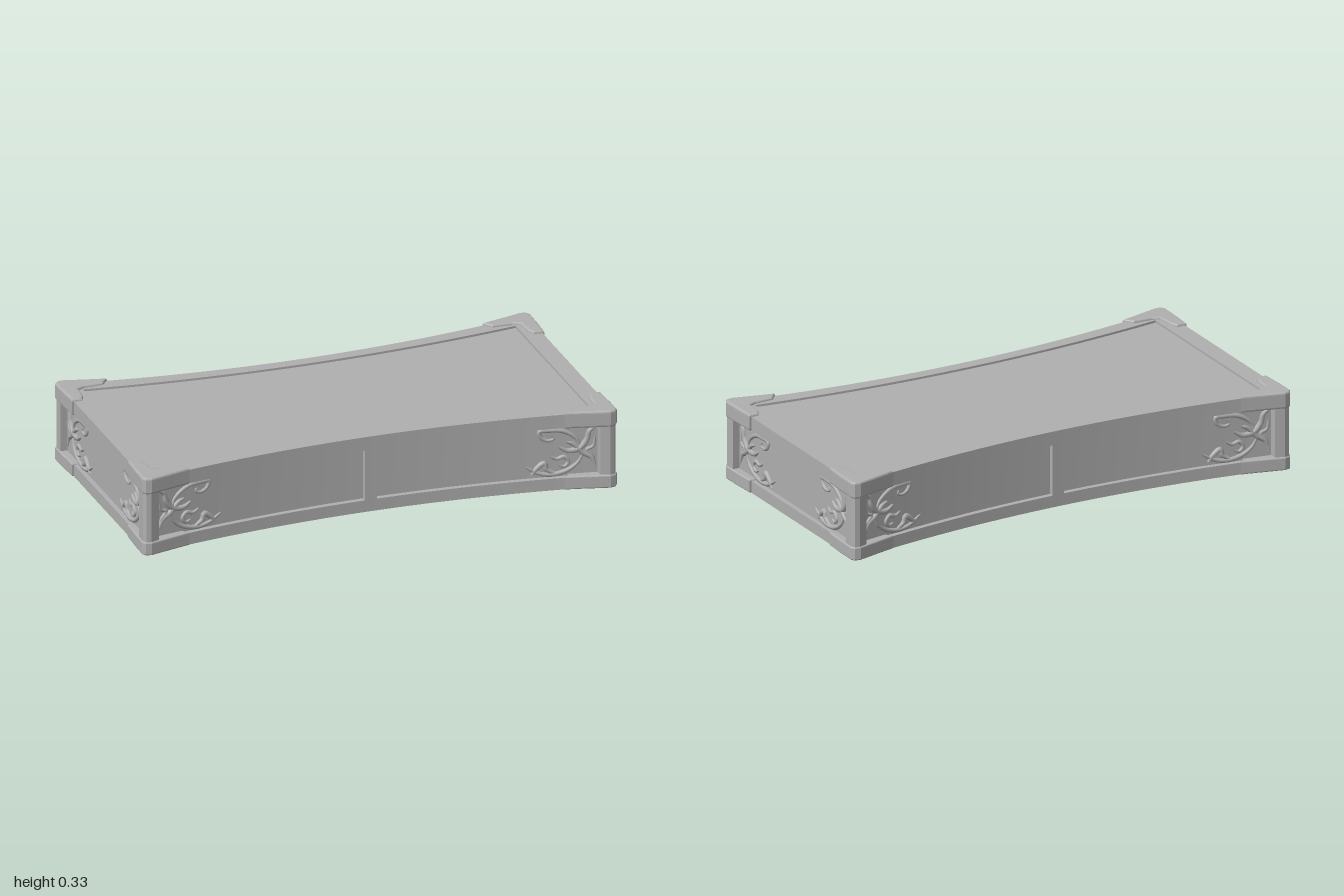
import * as THREE from 'three';

const stone = new THREE.MeshStandardMaterial({ color: 0xb0b0b0 });
stone.name = 'grey stone';

// plan curves of the concave long sides: outer rim, recessed wall, inner rim
const rim = (x) => 0.406 + 0.1 * x * x;
const wall = (x) => rim(x) - 0.022;
const inner = (x) => 0.355 + 0.08 * x * x;
const SIDE_RIM = 0.985, SIDE_WALL = 0.965;

function add(parent, name, geometry) {
  const mesh = new THREE.Mesh(geometry, stone);
  mesh.name = name;
  parent.add(mesh);
  return mesh;
}

// box whose back and front follow two plan curves
function bentBox(x0, x1, y0, y1, back, front) {
  const g = new THREE.BoxGeometry(x1 - x0, y1 - y0, 1, 32, 1, 1);
  g.translate((x0 + x1) / 2, (y0 + y1) / 2, 0);
  const p = g.attributes.position;
  for (let i = 0; i < p.count; i++) {
    const x = p.getX(i);
    p.setZ(i, p.getZ(i) > 0 ? front(x) : back(x));
  }
  g.computeVertexNormals();
  return g;
}

// scroll strokes: [inset from panel end, height] points, then thickness
const strokes = [
  { r: 0.010, pts: [[0.07, 0.16], [0.085, 0.205], [0.14, 0.243], [0.2, 0.25], [0.235, 0.247], [0.228, 0.222], [0.2, 0.206], [0.175, 0.214], [0.185, 0.227]] },
  { r: 0.013, pts: [[0.008, 0.255], [0.035, 0.235], [0.045, 0.2], [0.075, 0.165], [0.12, 0.157], [0.155, 0.175]] },
  { r: 0.012, pts: [[0.012, 0.09], [0.03, 0.125], [0.06, 0.145], [0.1, 0.185], [0.125, 0.195]] },
  { r: 0.008, pts: [[0.012, 0.21], [0.02, 0.17], [0.045, 0.155], [0.025, 0.13], [0.01, 0.075]] },
  { r: 0.010, pts: [[0.06, 0.14], [0.08, 0.105], [0.12, 0.075], [0.18, 0.06], [0.235, 0.068], [0.29, 0.1]] },
  { r: 0.012, pts: [[0.17, 0.062], [0.205, 0.085], [0.215, 0.11], [0.245, 0.09], [0.265, 0.062]] },
  { r: 0.009, pts: [[0.19, 0.138], [0.165, 0.125], [0.135, 0.132], [0.118, 0.11], [0.135, 0.09], [0.155, 0.098]] },
];

// tapered tube following a stroke on a wall
function scroll(stroke, end, sign, depth) {
  const n = 36, ring = 8;
  const curve = new THREE.CatmullRomCurve3(
    stroke.pts.map(([a, y]) => new THREE.Vector3(sign * (end - a), y, depth(end - a))));
  const g = new THREE.TubeGeometry(curve, n, stroke.r, ring, false);
  const p = g.attributes.position, v = new THREE.Vector3();
  for (let i = 0; i <= n; i++) {
    const c = curve.getPointAt(i / n);
    const k = 0.25 + 0.75 * Math.sqrt(Math.sin(Math.PI * Math.min(1, Math.max(0, i / n))));
    for (let j = 0; j <= ring; j++) {
      const q = i * (ring + 1) + j;
      v.fromBufferAttribute(p, q).sub(c).multiplyScalar(k).add(c);
      p.setXYZ(q, v.x, v.y, v.z);
    }
  }
  return g;
}

function ornaments(parent, end, depth) {
  for (const sign of [-1, 1]) {
    const group = new THREE.Group();
    group.name = 'scrollOrnament';
    for (const s of strokes) add(group, 'scrollStroke', scroll(s, end, sign, depth));
    parent.add(group);
  }
}

// rounded upright prism from a plan outline of [x, z] points
function prism(points, sx, sz, y0, y1, bevel) {
  const shape = new THREE.Shape(points.map(([x, z]) => new THREE.Vector2(sx * x, -sz * z)));
  const g = new THREE.ExtrudeGeometry(shape, {
    depth: y1 - y0 - 2 * bevel, bevelEnabled: true, bevelThickness: bevel,
    bevelSize: bevel, bevelOffset: -bevel, bevelSegments: 3,
  });
  g.rotateX(-Math.PI / 2);
  g.translate(0, y0 + bevel, 0);
  return g;
}

const bracketPlan = [[0.79, 0.474], [0.86, 0.492], [0.92, 0.508], [0.965, 0.52], [0.988, 0.515],
  [0.999, 0.498], [0.998, 0.42], [0.993, 0.318], [0.95, 0.318], [0.935, 0.35], [0.93, 0.42], [0.9, 0.433], [0.82, 0.436]];
const postPlan = [[0.928, 0.45], [0.928, 0.502], [0.965, 0.515], [0.985, 0.511], [0.994, 0.495], [0.993, 0.45]];

export function createModel() {
  const model = new THREE.Group();
  model.name = 'curvedPlinth';

  // recessed core
  add(model, 'core', bentBox(-SIDE_WALL, SIDE_WALL, 0.004, 0.313, (x) => -wall(x), wall));

  // front and back
  for (const turn of [0, Math.PI]) {
    const face = new THREE.Group();
    face.name = turn ? 'backFace' : 'frontFace';
    add(face, 'topRail', bentBox(-SIDE_RIM, SIDE_RIM, 0.264, 0.322, inner, rim));
    add(face, 'bottomRail', bentBox(-SIDE_RIM, SIDE_RIM, 0, 0.05, inner, rim));
    add(face, 'centreDivider', bentBox(-0.028, 0.024, 0.04, 0.27, inner, rim));
    ornaments(face, 0.93, wall);
    face.rotation.y = turn;
    model.add(face);
  }

  // left and right ends
  for (const side of [1, -1]) {
    const face = new THREE.Group();
    face.name = side > 0 ? 'leftFace' : 'rightFace';
    const flat = (d) => () => d;
    add(face, 'topRail', bentBox(-0.49, 0.49, 0.264, 0.322, flat(0.91), flat(SIDE_RIM)));
    add(face, 'bottomRail', bentBox(-0.49, 0.49, 0, 0.05, flat(0.91), flat(SIDE_RIM)));
    ornaments(face, 0.45, flat(SIDE_WALL));
    face.rotation.y = side * Math.PI / 2;
    model.add(face);
  }

  // corner posts with brackets above and below
  for (const sx of [-1, 1]) for (const sz of [-1, 1]) {
    const corner = new THREE.Group();
    corner.name = 'corner';
    add(corner, 'post', prism(postPlan, sx, sz, 0.005, 0.325, 0.006));
    add(corner, 'topBracket', prism(bracketPlan, sx, sz, 0.262, 0.332, 0.009));
    add(corner, 'bottomBracket', prism(bracketPlan, sx, sz, 0, 0.056, 0.006));
    model.add(corner);
  }
  return model;
}
